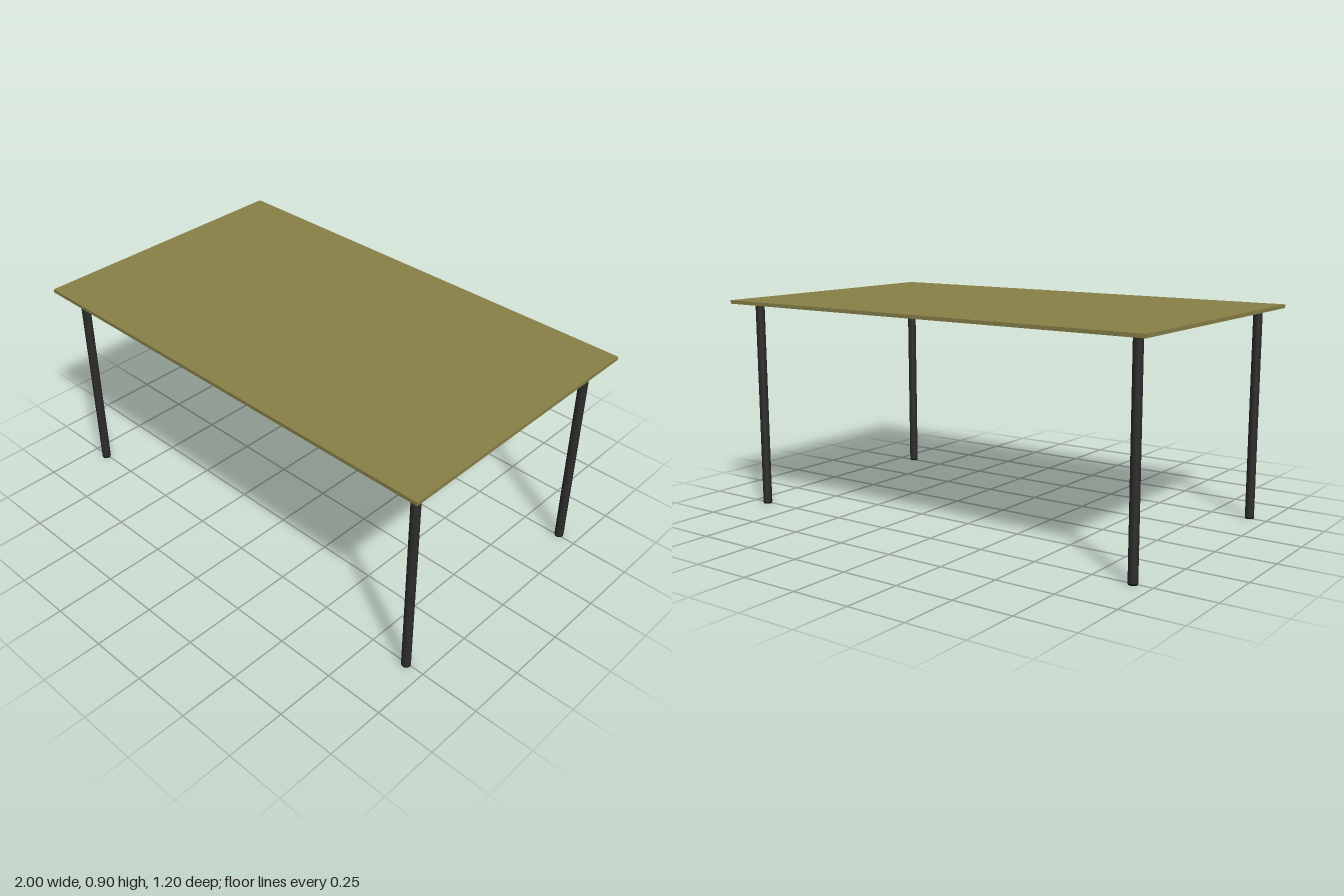
import * as THREE from 'three';

export function createModel() {
  const table = new THREE.Group();
  table.name = 'table';

  const wood = new THREE.MeshStandardMaterial({ color: 0x8a8148 });
  const metal = new THREE.MeshStandardMaterial({ color: 0x2c2c2c });
  const rubber = new THREE.MeshStandardMaterial({ color: 0x0c0c0c });

  const height = 0.903, thickness = 0.015, radius = 0.019, footHeight = 0.006;
  const legHeight = height - thickness - footHeight;

  // Thin rectangular top
  const top = new THREE.Mesh(new THREE.BoxGeometry(2, thickness, 1.2), wood);
  top.name = 'tableTop';
  top.position.y = height - thickness / 2;
  table.add(top);

  // Four round legs, each on a small dark foot pad
  const legGeometry = new THREE.CylinderGeometry(radius, radius, legHeight, 24);
  const footGeometry = new THREE.CylinderGeometry(radius, radius * 0.95, footHeight, 24);
  for (const [side, x] of [['Left', 0.922], ['Right', -0.922]]) {
    for (const [end, z] of [['front', 0.506], ['back', -0.506]]) {
      const leg = new THREE.Group();
      leg.name = `${end}${side}Leg`;
      leg.position.set(x, 0, z);

      const post = new THREE.Mesh(legGeometry, metal);
      post.name = 'post';
      post.position.y = footHeight + legHeight / 2;

      const foot = new THREE.Mesh(footGeometry, rubber);
      foot.name = 'foot';
      foot.position.y = footHeight / 2;

      leg.add(post, foot);
      table.add(leg);
    }
  }
  return table;
}
